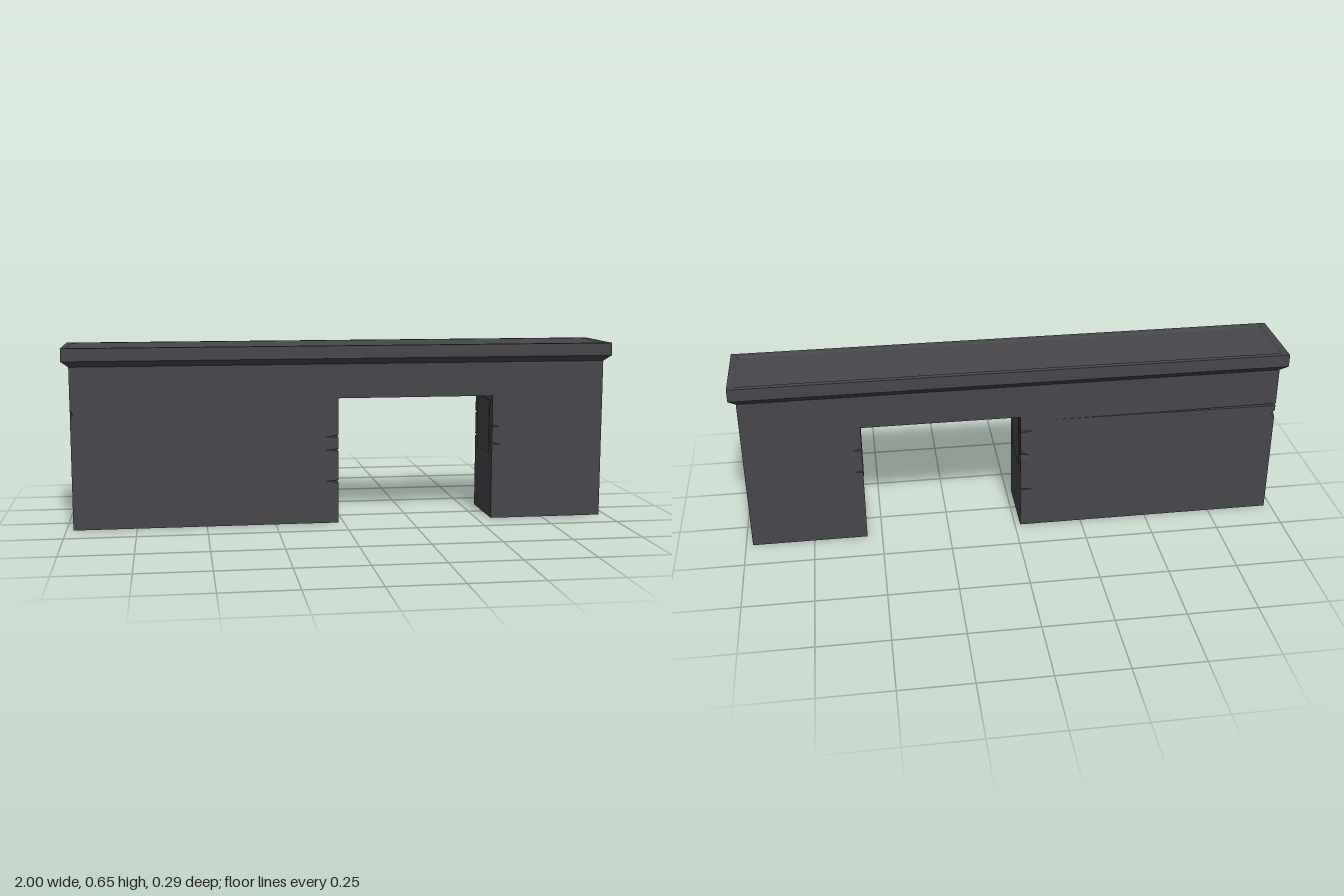
import * as THREE from 'three';

const HX = 0.975, HZ = 0.125, TOP = 0.585;      // wall half length, half depth, height
const DOOR = { a: -0.02, b: 0.555, h: 0.46 };   // doorway

// Upright edges with chips: x, direction into the wall, chips per side [y, length, half height, depth]
const edges = {
  end: { x: -HX, s: 1,
    front: [[0.415, 0.01, 0.02, 0.012]],
    back: [[0.405, 0.015, 0.015, 0.02], [0.442, 0.85, 0.004, 0.015]] },
  jambA: { x: DOOR.a, s: -1,
    front: [[0.155, 0.045, 0.004, 0.02], [0.27, 0.045, 0.004, 0.02], [0.32, 0.045, 0.004, 0.02]],
    back: [[0.155, 0.045, 0.004, 0.02], [0.3, 0.035, 0.02, 0.01], [0.4, 0.045, 0.004, 0.02]] },
  jambB: { x: DOOR.b, s: 1,
    front: [[0.28, 0.03, 0.004, 0.02], [0.345, 0.03, 0.004, 0.02]],
    back: [[0.28, 0.03, 0.004, 0.02], [0.37, 0.03, 0.004, 0.02]] },
};

function fromTriangles(tris) {
  const g = new THREE.BufferGeometry();
  g.setAttribute('position', new THREE.Float32BufferAttribute(tris.flat(2), 3));
  g.computeVertexNormals();
  return g;
}

// Flat polygon placed in space by a mapping of its two coordinates
function panel(points, map, flip) {
  const g = new THREE.ShapeGeometry(new THREE.Shape(points.map(p => new THREE.Vector2(...p))));
  const pos = g.attributes.position, idx = g.index.array, tris = [];
  for (let i = 0; i < idx.length; i += 3) {
    const t = [0, 1, 2].map(k => map(pos.getX(idx[i + k]), pos.getY(idx[i + k])));
    tris.push(flip ? t.reverse() : t);
  }
  return fromTriangles(tris);
}

// Notched points up one edge; u is the edge coordinate, depth gives the notch reach
const notches = (chips, u, reach) => chips.flatMap(c =>
  [[u, c[0] - c[2]], [u + reach(c), c[0]], [u, c[0] + c[2]]]);

// Broad face with the doorway cut out
function faceOutline(side) {
  const run = e => notches(e[side], e.x, c => e.s * c[1]);
  return [[-HX, 0], [DOOR.a, 0], ...run(edges.jambA), [DOOR.a, DOOR.h],
    [DOOR.b, DOOR.h], ...run(edges.jambB).reverse(), [DOOR.b, 0],
    [HX, 0], [HX, TOP], [-HX, TOP], ...run(edges.end).reverse()];
}

// Narrow upright face between the two broad faces
function sideOutline(e, height) {
  return [[-HZ, 0], [HZ, 0], ...notches(e.front, HZ, c => -c[3]), [HZ, height],
    [-HZ, height], ...notches(e.back, -HZ, c => c[3]).reverse()];
}

// Two sloping facets inside each chip
function chipFacets(e) {
  const tris = [];
  for (const [side, t] of [['front', 1], ['back', -1]]) {
    for (const [y, len, h, d] of e[side]) {
      const c = [e.x + e.s * len, y, t * HZ], deep = [e.x, y, t * (HZ - d)];
      for (const k of [-1, 1]) {
        const a = [e.x, y + k * h, t * HZ];
        const n = new THREE.Triangle(...[a, c, deep].map(p => new THREE.Vector3(...p)))
          .getNormal(new THREE.Vector3());
        tris.push(n.y * k < 0 ? [a, c, deep] : [a, deep, c]);
      }
    }
  }
  return fromTriangles(tris);
}

// Rectangular rings joined upwards, with the last one filled
function ringStack(rings) {
  const loops = rings.map(([x, z, y]) => [[-x, y, z], [x, y, z], [x, y, -z], [-x, y, -z]]);
  const tris = [];
  for (let r = 0; r + 1 < loops.length; r++) {
    for (let i = 0; i < 4; i++) {
      const j = (i + 1) % 4, lo = loops[r], hi = loops[r + 1];
      tris.push([lo[i], lo[j], hi[j]], [lo[i], hi[j], hi[i]]);
    }
  }
  const [a, b, c, d] = loops.at(-1);
  tris.push([a, b, c], [a, c, d]);
  return fromTriangles(tris);
}

export function createModel() {
  const group = new THREE.Group();
  const stone = new THREE.MeshStandardMaterial({ color: 0x47464b, side: THREE.DoubleSide });
  stone.name = 'dark stone';
  const add = (name, geometry) => {
    const mesh = new THREE.Mesh(geometry, stone);
    mesh.name = name;
    group.add(mesh);
    return mesh;
  };

  // Hollow wall, open underneath
  add('wallFront', panel(faceOutline('front'), (x, y) => [x, y, HZ], false));
  add('wallBack', panel(faceOutline('back'), (x, y) => [x, y, -HZ], true));
  const upright = (name, e, height, flip) =>
    add(name, panel(sideOutline(e, height), (z, y) => [e.x, y, z], flip));
  upright('longBlockEnd', edges.end, TOP, false);
  upright('shortBlockEnd', { x: HX, front: [], back: [] }, TOP, true);
  upright('longBlockJamb', edges.jambA, DOOR.h, true);
  upright('shortBlockJamb', edges.jambB, DOOR.h, false);
  add('doorwaySoffit', panel(
    [[DOOR.a, -HZ], [DOOR.b, -HZ], [DOOR.b, HZ], [DOOR.a, HZ]],
    (x, z) => [x, DOOR.h, z], false));

  // Chips and cracks along the edges
  for (const [name, e] of Object.entries(edges)) add(name + 'Chips', chipFacets(e));

  // Shallow panels on the door jambs
  for (const x of [DOOR.a, DOOR.b]) {
    add('jambPanel', new THREE.BoxGeometry(0.004, 0.2, 0.17)).position.set(x, 0.34, 0);
  }

  // Coping with a sloped underside and a slightly sunken top
  add('coping', ringStack([
    [HX, HZ, TOP], [1, 0.145, 0.606], [1, 0.145, 0.652],
    [0.98, 0.125, 0.652], [0.972, 0.117, 0.647],
  ]));
  return group;
}
